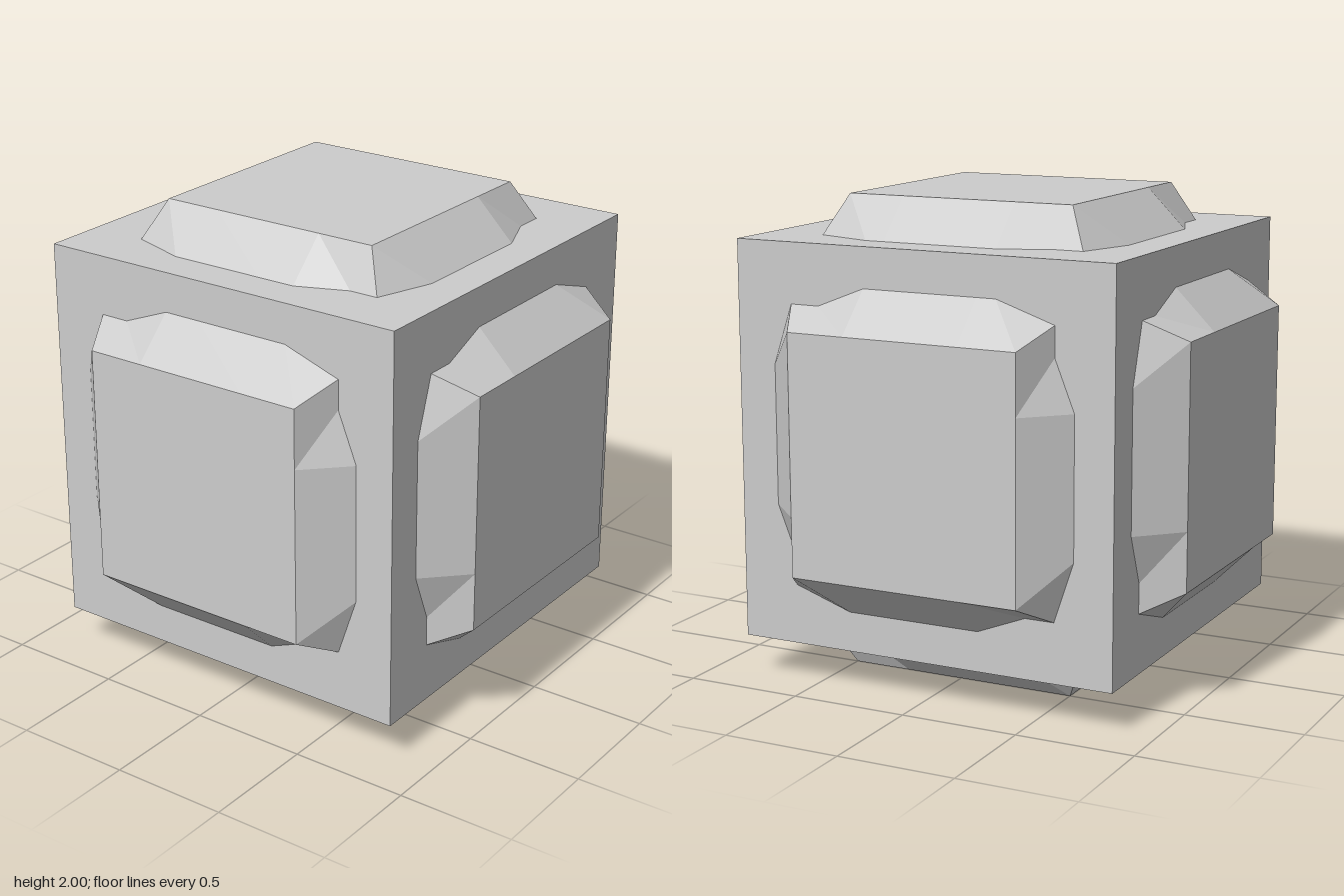
import * as THREE from 'three';

const CORE = 5 / 3;   // core cube edge
const C = 2 / 3;      // where the bosses meet at the core's corners

// One side of a boss, as strips from the cap rim down to the inner seam
const rim = [[-0.5, 0.5, 1], [-0.25, 0.5, 1], [0.25, 0.5, 1], [0.5, 0.5, 1]];
const seam = [[-C, C, C], [-0.25, 0.75, 0.75], [0.25, 0.75, 0.75], [C, C, C]];

function bossGeometry() {
  const side = [
    rim[0], rim[1], seam[0], rim[1], seam[1], seam[0],
    rim[1], rim[2], seam[1], rim[2], seam[2], seam[1],
    rim[2], rim[3], seam[2], rim[3], seam[3], seam[2],
  ];
  const cap = [[-0.5, -0.5, 1], [0.5, -0.5, 1], [0.5, 0.5, 1], [-0.5, -0.5, 1], [0.5, 0.5, 1], [-0.5, 0.5, 1]];
  const points = [...cap];
  // The same slope, turned a quarter each time
  let turned = side;
  for (let i = 0; i < 4; i++) {
    points.push(...turned);
    turned = turned.map(([x, y, z]) => [y, -x, z]);
  }
  const geometry = new THREE.BufferGeometry();
  geometry.setAttribute('position', new THREE.Float32BufferAttribute(points.flat(), 3));
  geometry.computeVertexNormals();
  return geometry;
}

export function createModel() {
  const model = new THREE.Group();
  model.name = 'bossedCube';
  const grey = new THREE.MeshStandardMaterial({ color: 0xcccccc });
  grey.name = 'grey';

  // Core cube
  const core = new THREE.Mesh(new THREE.BoxGeometry(CORE, CORE, CORE), grey);
  core.name = 'core';
  core.position.y = 1;
  model.add(core);

  // Bevelled boss on each of the six faces
  const boss = bossGeometry();
  const faces = {
    frontBoss: [0, 0], leftBoss: [0, Math.PI / 2], backBoss: [0, Math.PI],
    rightBoss: [0, -Math.PI / 2], topBoss: [-Math.PI / 2, 0], bottomBoss: [Math.PI / 2, 0],
  };
  for (const [name, [rx, ry]] of Object.entries(faces)) {
    const mesh = new THREE.Mesh(boss, grey);
    mesh.name = name;
    mesh.rotation.set(rx, ry, 0);
    mesh.position.y = 1;
    model.add(mesh);
  }
  return model;
}
